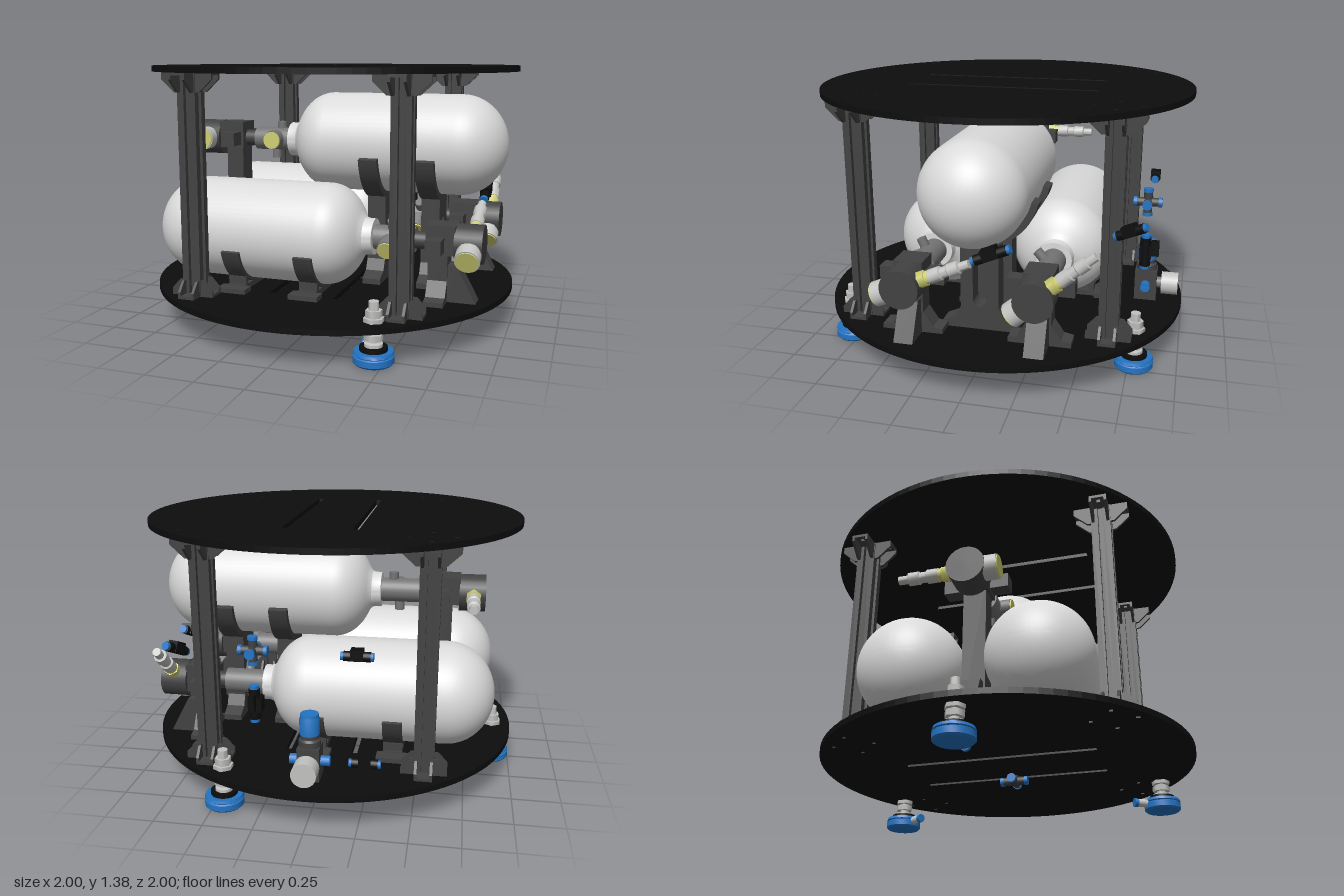
import * as THREE from 'three';
import { toCreasedNormals } from 'three/addons/utils/BufferGeometryUtils.js';

const PI = Math.PI;
const mat = (name, color) => new THREE.MeshStandardMaterial({ name, color });
const black = mat('black', 0x0d0d0d);
const dark = mat('dark grey', 0x424242);
const grey = mat('mid grey', 0x747474);
const tankWhite = mat('tank white', 0xdadada);
const steel = mat('steel', 0xc2c2c0);
const blue = mat('blue', 0x2474c4);
const yellow = mat('pale yellow', 0xcfcf74);

function add(parent, name, geo, material, x = 0, y = 0, z = 0) {
  const m = new THREE.Mesh(geo, material);
  m.name = name;
  m.position.set(x, y, z);
  parent.add(m);
  return m;
}
function group(parent, name, x = 0, y = 0, z = 0) {
  const g = new THREE.Group();
  g.name = name;
  g.position.set(x, y, z);
  parent.add(g);
  return g;
}
// turn a geometry made along y to lie along x or z
function along(geo, axis) {
  if (axis === 'x') geo.rotateZ(-PI / 2);
  if (axis === 'z') geo.rotateX(PI / 2);
  return geo;
}
const box = (w, h, d) => new THREE.BoxGeometry(w, h, d);
const cyl = (r, len, axis = 'y', seg = 28) => along(new THREE.CylinderGeometry(r, r, len, seg), axis);
const turned = (pts, axis = 'y', seg = 32) =>
  toCreasedNormals(along(new THREE.LatheGeometry(pts.map(p => new THREE.Vector2(...p)), seg), axis), 0.6);
const extrude = (shape, depth, curveSegments = 24) =>
  new THREE.ExtrudeGeometry(shape, { depth, bevelEnabled: false, curveSegments });
const poly = pts => new THREE.Shape(pts.map(p => new THREE.Vector2(...p)));
const rectHole = (x, y, w, h) => new THREE.Path([[-1, -1], [-1, 1], [1, 1], [1, -1]]
  .map(([a, b]) => new THREE.Vector2(x + a * w / 2, y + b * h / 2)));

const FLOOR = 0.21, CEIL = 1.36, PX = 0.55, PZ = 0.655;

// round deck with two slots and four small holes around each post
function deckGeometry() {
  const s = new THREE.Shape().absarc(0, 0, 1, 0, PI * 2);
  s.holes.push(rectHole(-0.18, 0, 0.03, 1.03), rectHole(0.17, 0, 0.03, 1.03));
  for (const sx of [-1, 1]) for (const sz of [-1, 1])
    for (const [dx, dz] of [[0.11, 0], [-0.11, 0], [0, 0.11], [0, -0.11]])
      s.holes.push(rectHole(sx * PX + dx, sz * PZ + dz, 0.02, 0.02));
  return extrude(s, 0.03, 48).rotateX(-PI / 2);
}

// grooved square profile post with corner brackets at both ends
function post(parent, x, z) {
  const g = group(parent, 'post', x, 0, z);
  const pts = [];
  for (let i = 0; i < 4; i++) {
    const c = Math.cos(i * PI / 2), s = Math.sin(i * PI / 2);
    for (const [a, b] of [[0.05, -0.05], [0.05, -0.014], [0.026, -0.014], [0.026, 0.014], [0.05, 0.014]])
      pts.push([a * c - b * s, a * s + b * c]);
  }
  add(g, 'profile', extrude(poly(pts), CEIL - FLOOR).rotateX(-PI / 2), dark, 0, FLOOR, 0);
  for (const [end, reach, drop] of [[1, 0.14, 0.1], [-1, 0.115, 0.085]])
    for (let i = 0; i < 4; i++) {
      const b = group(g, 'bracket', 0, end > 0 ? CEIL : FLOOR, 0);
      b.rotation.y = i * PI / 2;
      if (end < 0) b.rotation.set(PI, i * PI / 2, 0);
      const cheek = extrude(poly([[0.05, -drop], [0.07, -drop], [reach, -0.035], [reach, 0], [0.05, 0]]), 0.014);
      add(b, 'cheek', cheek, dark, 0, 0, 0.031);
      add(b, 'cheek', cheek, dark, 0, 0, -0.045);
      const flange = poly([[0.05, -0.035], [reach, -0.035], [reach, 0.035], [0.05, 0.035]]);
      if (reach > 0.13) flange.holes.push(rectHole(0.11, 0, 0.02, 0.02));
      add(b, 'flange', extrude(flange, 0.015).rotateX(PI / 2), dark);
    }
}

// levelling foot with an inward pointing air port
function foot(parent, angle) {
  const g = group(parent, 'foot', 0.9 * Math.cos(angle), 0, -0.9 * Math.sin(angle));
  g.rotation.y = angle;
  add(g, 'pad', turned([[0, 0.005], [0.09, 0.005], [0.1, 0.015], [0.1, 0.045], [0.094, 0.05], [0.1, 0.055], [0.095, 0.07], [0, 0.07]]), blue);
  add(g, 'padTop', cyl(0.068, 0.02), black, 0, 0.08, 0);
  add(g, 'stem', turned([[0.045, 0.09], [0.045, 0.105], [0.025, 0.11], [0.025, 0.31], [0, 0.31]]), steel);
  for (const [y, r, h] of [[0.135, 0.048, 0.03], [0.17, 0.05, 0.02], [0.22, 0.052, 0.02], [0.25, 0.042, 0.035]])
    add(g, 'nut', cyl(r, h, 'y', 6), steel, 0, y, 0);
  add(g, 'port', cyl(0.022, 0.06, 'x'), steel, -0.12, 0.045, 0);
  add(g, 'portEnd', cyl(0.024, 0.02, 'x'), blue, -0.16, 0.045, 0);
}

// curved saddle strap, extruded along x
function saddle(parent, inner, outer, width, lift) {
  const s = new THREE.Shape();
  s.absarc(0, 0, outer, PI + lift, 2 * PI - lift, false);
  s.absarc(0, 0, inner, 2 * PI - lift, PI + lift, true);
  return add(parent, 'saddle', extrude(s, width).rotateY(PI / 2), dark, -width / 2, 0, 0);
}

// push-in air fitting along x: black body, blue collars
function fitting(parent, x, y, z, len = 0.13, r = 0.024) {
  const g = group(parent, 'airFitting', x, y, z);
  add(g, 'body', cyl(r, len * 0.85, 'x', 16), black);
  add(g, 'block', box(len * 0.4, r * 2.2, r * 2.2), black, 0, r * 0.4, 0);
  for (const s of [-1, 1]) add(g, 'collar', cyl(r * 0.85, len * 0.1, 'x', 16), blue, s * len * 0.47, 0, 0);
  return g;
}

// four-way connector in the plane given by two axes
function cross(parent, x, y, z, arm, axes) {
  const g = group(parent, 'crossConnector', x, y, z);
  for (const a of axes) {
    add(g, 'arm', cyl(0.022, arm * 1.7, a, 16), dark);
    for (const s of [-1, 1]) {
      const e = add(g, 'collar', cyl(0.025, arm * 0.25, a, 16), blue);
      e.position[a] = s * arm * 0.9;
    }
  }
}

// gas tank along x, with neck, valve, gauges and valve support
function tank(parent, name, y, z, turn, valveAngle, tail) {
  const g = group(parent, name, 0.035, y, z);
  g.rotation.y = turn;
  const R = 0.27, profile = [];
  for (let i = 0; i <= 14; i++) {
    const t = i / 14 * PI / 2;
    profile.push([R * Math.sin(t), -0.675 - 0.25 * Math.cos(t)]);
  }
  for (let i = 0; i <= 10; i++) {
    const t = i / 10 * 1.04;
    profile.push([R * Math.cos(t), 0.04 + 0.21 * Math.sin(t)]);
  }
  profile.push([0.115, 0.232], [0.1, 0.245], [0.095, 0.265], [0.095, 0.295], [0, 0.295]);
  add(g, 'shell', turned(profile, 'x', 64), tankWhite);

  // valve body in line with the neck
  add(g, 'neckCollar', cyl(0.065, 0.04, 'x'), grey, 0.31, 0, 0);
  add(g, 'regulatorBody', cyl(0.065, 0.19, 'x'), grey, 0.415, 0, 0);
  add(g, 'coupling', cyl(0.045, 0.1, 'x'), dark, 0.54, 0, 0);
  add(g, 'valveBlock', box(0.15, 0.15, 0.15), dark, 0.65, 0.02, 0);
  add(g, 'valveHead', cyl(0.1, 0.14, 'x', 24), dark, 0.79, 0, 0);
  add(g, 'clamp', box(0.08, 0.075, 0.34), dark, 0.63, 0, 0);

  // gauges and outlet, rolled around the tank axis
  const v = group(g, 'valveFittings');
  v.rotation.x = valveAngle;
  add(v, 'smallGauge', cyl(0.052, 0.08, 'z'), grey, 0.38, 0, 0.075);
  add(v, 'smallGaugeFace', cyl(0.048, 0.008, 'z'), yellow, 0.38, 0, 0.118);
  add(v, 'plug', cyl(0.026, 0.11, 'y', 16), grey, 0.395, 0.055, 0);
  add(v, 'plug', cyl(0.026, 0.1, 'y', 16), grey, 0.36, -0.05, 0);
  add(v, 'gauge', cyl(0.064, 0.07, 'z'), steel, 0.795, 0, 0.12);
  add(v, 'gaugeFace', cyl(0.058, 0.008, 'z'), yellow, 0.795, 0, 0.158);
  add(v, 'outletNut', cyl(0.042, 0.05, 'z', 6), yellow, 0.795, 0, -0.11);
  add(v, 'outletCollar', cyl(0.034, 0.025, 'z', 16), yellow, 0.795, 0, -0.145);
  add(v, 'outlet', turned([[0, -0.37], [0.022, -0.37], [0.022, -0.32], [0.034, -0.315], [0.034, -0.26],
    [0.028, -0.255], [0.028, -0.22], [0.036, -0.215], [0.036, -0.155], [0, -0.155]], 'z', 20), steel, 0.795, 0, 0);
  if (tail) {
    const f = fitting(v, 0.8, 0.01, -0.49, 0.2, 0.026);
    f.rotation.y = PI / 2;
  }

  // support below the valve
  const h = y - FLOOR;
  add(g, 'supportPillar', box(0.1, h, 0.12), dark, 0.635, -h / 2, 0);
  add(g, 'supportGusset', extrude(poly([[0.68, -h], [0.83, -h], [0.73, -h + 0.19], [0.68, -h + 0.19]]), 0.1), dark, 0, 0, -0.05);
  const flare = poly([[-0.16, 0], [0.16, 0], [0.16, 0.025], [0.11, 0.035], [0.06, 0.11], [-0.06, 0.11], [-0.11, 0.035], [-0.16, 0.025]]);
  add(g, 'supportFoot', extrude(flare, 0.1).rotateY(PI / 2), dark, 0.585, -h, 0);
  return g;
}

export function createModel() {
  const root = new THREE.Group();
  root.name = 'tankRack';

  // decks, posts and feet
  const deck = deckGeometry();
  add(root, 'bottomDeck', deck, black, 0, 0.18, 0);
  add(root, 'topDeck', deck, black, 0, CEIL, 0);
  for (const sx of [-1, 1]) for (const sz of [-1, 1]) post(root, sx * PX, sz * PZ);
  for (const a of [PI / 3, PI, -PI / 3]) foot(root, a);

  // tanks
  tank(root, 'lowerFrontTank', 0.51, 0.33, 0, 0.4, true);
  tank(root, 'lowerBackTank', 0.51, -0.33, 0, 0.7, false);
  tank(root, 'upperTank', 0.97, 0, PI, PI, false);

  // lower cradles
  for (const z of [0.33, -0.33]) for (const x of [-0.38, 0.02]) {
    const c = group(root, 'lowerCradle', x, 0.51, z);
    saddle(c, 0.271, 0.288, 0.1, 0.28);
    add(c, 'base', box(0.1, 0.03, 0.4), dark, 0, -0.285, 0);
    for (const s of [-1, 1]) {
      add(c, 'rib', box(0.1, 0.07, 0.03), dark, 0, -0.265, s * 0.17);
      add(c, 'tab', box(0.16, 0.025, 0.08), dark, 0, -0.287, s * 0.23);
    }
  }

  // tall cradles for the upper tank
  for (const x of [0.27, 0.57]) {
    const c = group(root, 'upperCradle', x, 0.97, 0);
    saddle(c, 0.271, 0.305, 0.1, 0.22);
    const s = poly([[-0.2, 0], [0.2, 0], [0.2, 0.03], [0.13, 0.06], [0.1, 0.12], [0.1, 0.51], [-0.1, 0.51], [-0.1, 0.12], [-0.13, 0.06], [-0.2, 0.03]]);
    const slot = new THREE.Path();
    slot.absarc(0, 0.16, 0.035, PI, 2 * PI, false);
    slot.absarc(0, 0.34, 0.035, 0, PI, false);
    s.holes.push(slot);
    add(c, 'pillar', extrude(s, 0.1, 10).rotateY(PI / 2), dark, -0.05, FLOOR - 0.97, 0);
  }

  // pressure regulator on the back edge
  const reg = group(root, 'pressureRegulator', 0, 0, -0.8);
  add(reg, 'base', box(0.11, 0.17, 0.12), dark, 0, 0.295, 0);
  add(reg, 'bonnet', turned([[0.055, 0.38], [0.055, 0.41], [0.045, 0.42], [0.045, 0.45], [0, 0.45]]), dark);
  add(reg, 'dial', turned([[0, 0.44], [0.05, 0.44], [0.05, 0.52], [0.045, 0.53], [0.045, 0.545], [0, 0.545]]), blue);
  add(reg, 'gauge', cyl(0.062, 0.09, 'z'), steel, 0, 0.3, -0.13);
  add(reg, 'gaugeStem', cyl(0.03, 0.05, 'z'), grey, 0, 0.3, -0.07);
  for (const s of [-1, 1]) add(reg, 'port', cyl(0.026, 0.05, 'x', 16), blue, s * 0.075, 0.3, 0);

  // air fittings
  fitting(root, -0.23, 0.85, -0.81, 0.15);
  fitting(root, -0.27, 0.3, -0.8, 0.15);
  const upright = fitting(root, 0.27, 0.58, -0.8, 0.18, 0.028);
  upright.rotation.z = PI / 2;
  add(upright, 'lever', box(0.08, 0.03, 0.04), black, 0.02, 0, -0.05);
  const branch = fitting(root, 0.67, 0.82, -0.75, 0.17);
  branch.rotation.set(0, PI * 0.4, 0.45);
  cross(root, 0.27, 0.85, -0.8, 0.07, ['x', 'y', 'z']);
  cross(root, 0.14, 0.15, 0, 0.075, ['x', 'z']);
  add(root, 'crossStem', cyl(0.025, 0.04), dark, 0.14, 0.165, 0);
  return root;
}
